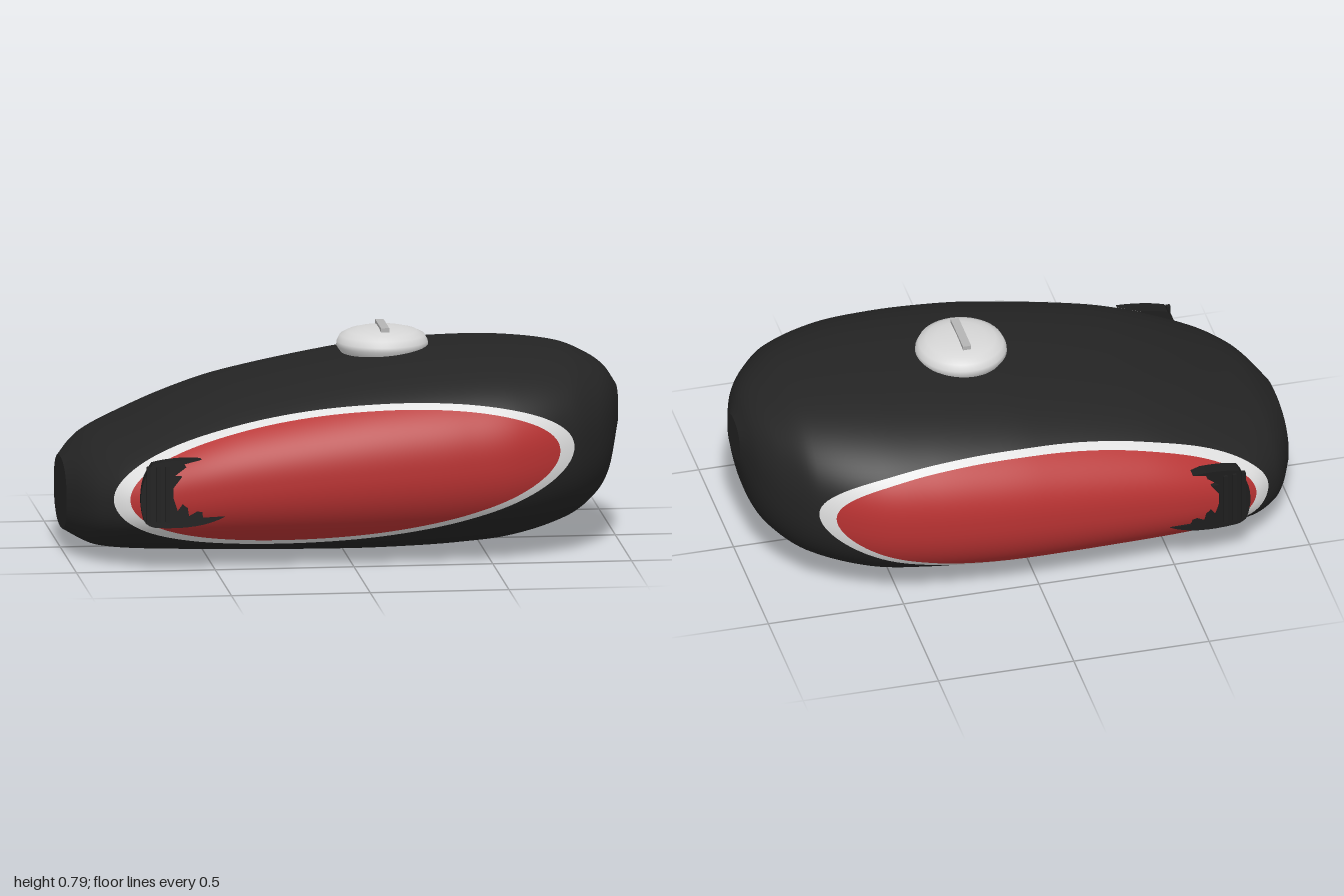
import * as THREE from 'three';

const mat = (name, color, side = THREE.FrontSide) => {
  const m = new THREE.MeshStandardMaterial({ color, side });
  m.name = name;
  return m;
};

// Tank stations: x, top, bottom, half width
const STATIONS = [
  [-1, 0.33, 0.075, 0.2], [-0.95, 0.375, 0.05, 0.33], [-0.9, 0.41, 0.03, 0.41],
  [-0.8, 0.455, 0.02, 0.495], [-0.6, 0.54, 0.012, 0.55], [-0.4, 0.605, 0.006, 0.577],
  [0, 0.685, 0, 0.602], [0.2, 0.708, 0.003, 0.603], [0.4, 0.72, 0.012, 0.59],
  [0.6, 0.72, 0.033, 0.553], [0.8, 0.698, 0.09, 0.45], [0.9, 0.658, 0.155, 0.34],
  [0.96, 0.615, 0.24, 0.23], [1, 0.555, 0.4, 0.09],
];
const POWER = 2.3;

// Smooth interpolation of one station column
function sample(x, col) {
  const S = STATIONS, last = S.length - 1;
  let i = 0;
  while (i < last - 1 && x > S[i + 1][0]) i++;
  const slope = (k) => {
    const a = S[Math.max(k - 1, 0)], b = S[Math.min(k + 1, last)];
    return (b[col] - a[col]) / (b[0] - a[0]);
  };
  const d = S[i + 1][0] - S[i][0], t = (x - S[i][0]) / d, t2 = t * t, t3 = t2 * t;
  return S[i][col] * (2 * t3 - 3 * t2 + 1) + slope(i) * d * (t3 - 2 * t2 + t)
    + S[i + 1][col] * (3 * t2 - 2 * t3) + slope(i + 1) * d * (t3 - t2);
}

function section(x) {
  const top = sample(x, 1), bottom = sample(x, 2);
  return { c: (top + bottom) / 2, h: (top - bottom) / 2, w: sample(x, 3) };
}

const power = (s) => Math.sign(s) * Math.abs(s) ** (2 / POWER);

// Point on the tank skin, optionally shrunk toward the section centre
function skin(x, t, scale = 1) {
  const { c, h, w } = section(x);
  return [x, c + scale * h * power(Math.sin(t)), scale * w * power(Math.cos(t))];
}

// Half width of the tank at a given side position
function sideDepth(x, y) {
  const { c, h, w } = section(x);
  const k = Math.min(1, Math.abs((y - c) / h));
  return w * (1 - k ** POWER) ** (1 / POWER);
}

// Grid of rows that each close on themselves
function loopGrid(rows, cols, point, flip = false) {
  const pos = [], idx = [];
  for (let i = 0; i <= rows; i++) {
    for (let j = 0; j < cols; j++) pos.push(...point(i / rows, (j / cols) * Math.PI * 2));
  }
  for (let i = 0; i < rows; i++) {
    for (let j = 0; j < cols; j++) {
      const k = (j + 1) % cols;
      const a = i * cols + j, b = a + cols, c = (i + 1) * cols + k, d = i * cols + k;
      idx.push(...(flip ? [a, c, b, a, d, c] : [a, b, c, a, c, d]));
    }
  }
  const g = new THREE.BufferGeometry();
  g.setAttribute('position', new THREE.Float32BufferAttribute(pos, 3));
  g.setIndex(idx);
  g.computeVertexNormals();
  return g;
}

// Slanted oval outline of the side paint
const oval = (a, b, t) => [-0.03 + a * Math.cos(t), 0.332 + b * Math.sin(t + 0.31)];

export function createModel() {
  const model = new THREE.Group();
  model.name = 'fuelTank';
  const black = mat('tankBlack', 0x242424);
  const red = mat('panelRed', 0xb83232);
  const white = mat('trimWhite', 0xe0e0e0);
  const silver = mat('capSilver', 0xd6d6d6);
  const grey = mat('gripGrey', 0xb4b4b4);
  const rubber = mat('padBlack', 0x1e1e1e);

  const add = (name, geometry, material, parent = model) => {
    const mesh = new THREE.Mesh(geometry, material);
    mesh.name = name;
    parent.add(mesh);
    return mesh;
  };

  // Tank shell with flat ends
  add('tankBody', loopGrid(110, 112, (u, t) => skin(-Math.cos(Math.PI * u), t)), black);
  add('rearEnd', loopGrid(4, 112, (u, t) => skin(-1, t, u)), black);
  add('noseEnd', loopGrid(4, 112, (u, t) => skin(1, t, u), true), black);

  // Claw-edged knee pad outline
  const padShape = new THREE.Shape();
  padShape.moveTo(-0.72, 0.165);
  padShape.quadraticCurveTo(-0.56, 0.155, -0.47, 0.205);
  padShape.lineTo(-0.55, 0.2);
  for (const [x, y] of [[-0.555, 0.235], [-0.6, 0.205], [-0.61, 0.27], [-0.64, 0.225],
    [-0.655, 0.27], [-0.655, 0.31], [-0.625, 0.35], [-0.655, 0.35], [-0.61, 0.385]]) padShape.lineTo(x, y);
  padShape.lineTo(-0.62, 0.395);
  padShape.lineTo(-0.555, 0.412);
  padShape.quadraticCurveTo(-0.66, 0.415, -0.73, 0.395);
  padShape.quadraticCurveTo(-0.795, 0.3, -0.76, 0.19);
  padShape.quadraticCurveTo(-0.75, 0.17, -0.72, 0.165);

  for (const side of [1, -1]) {
    const group = new THREE.Group();
    group.name = side > 0 ? 'frontSide' : 'backSide';
    model.add(group);

    // Painted panel and its trim ring, laid on the skin
    const onSide = (x, y) => [x, y, side * (sideDepth(x, y) + 0.004)];
    add('sidePanel', loopGrid(32, 120, (u, t) =>
      onSide(...oval(0.775 * u, 0.238 * u, t)), side < 0), red, group);
    add('panelTrim', loopGrid(4, 120, (u, t) =>
      onSide(...oval(0.775 + 0.055 * u, 0.238 + 0.02 * u, t)), side < 0), white, group);

    // Knee pad, leaning outward with the tank
    const pad = new THREE.ExtrudeGeometry(padShape, { depth: 0.05, bevelEnabled: false, curveSegments: 8 });
    pad.translate(0, 0, side > 0 ? 0.487 : -0.537);
    const p = pad.attributes.position;
    for (let i = 0; i < p.count; i++) p.setZ(i, p.getZ(i) + side * 0.08 * (p.getX(i) + 0.77));
    pad.computeVertexNormals();
    add('kneePad', pad, rubber, group);

    // Upright ribs on the pad
    for (let i = 0; i < 3; i++) {
      const x = -0.745 + i * 0.034;
      const rib = add('padRib', new THREE.BoxGeometry(0.014, 0.2, 0.016), rubber, group);
      rib.position.set(x, 0.287, side * (0.538 + 0.08 * (x + 0.77)));
    }
  }

  // Domed filler cap
  const profile = [[0.15, 0.69], [0.165, 0.712], [0.163, 0.728], [0.152, 0.75],
    [0.125, 0.764], [0.09, 0.773], [0.045, 0.777], [0, 0.778]];
  const cap = add('fillerCap', new THREE.LatheGeometry(
    profile.map(([r, y]) => new THREE.Vector2(r, y)), 48), silver);
  cap.position.x = 0.16;

  // Grip bar across the cap
  const grip = add('capGrip', new THREE.BoxGeometry(0.03, 0.022, 0.18), grey);
  grip.position.set(0.16, 0.777, 0);

  return model;
}
